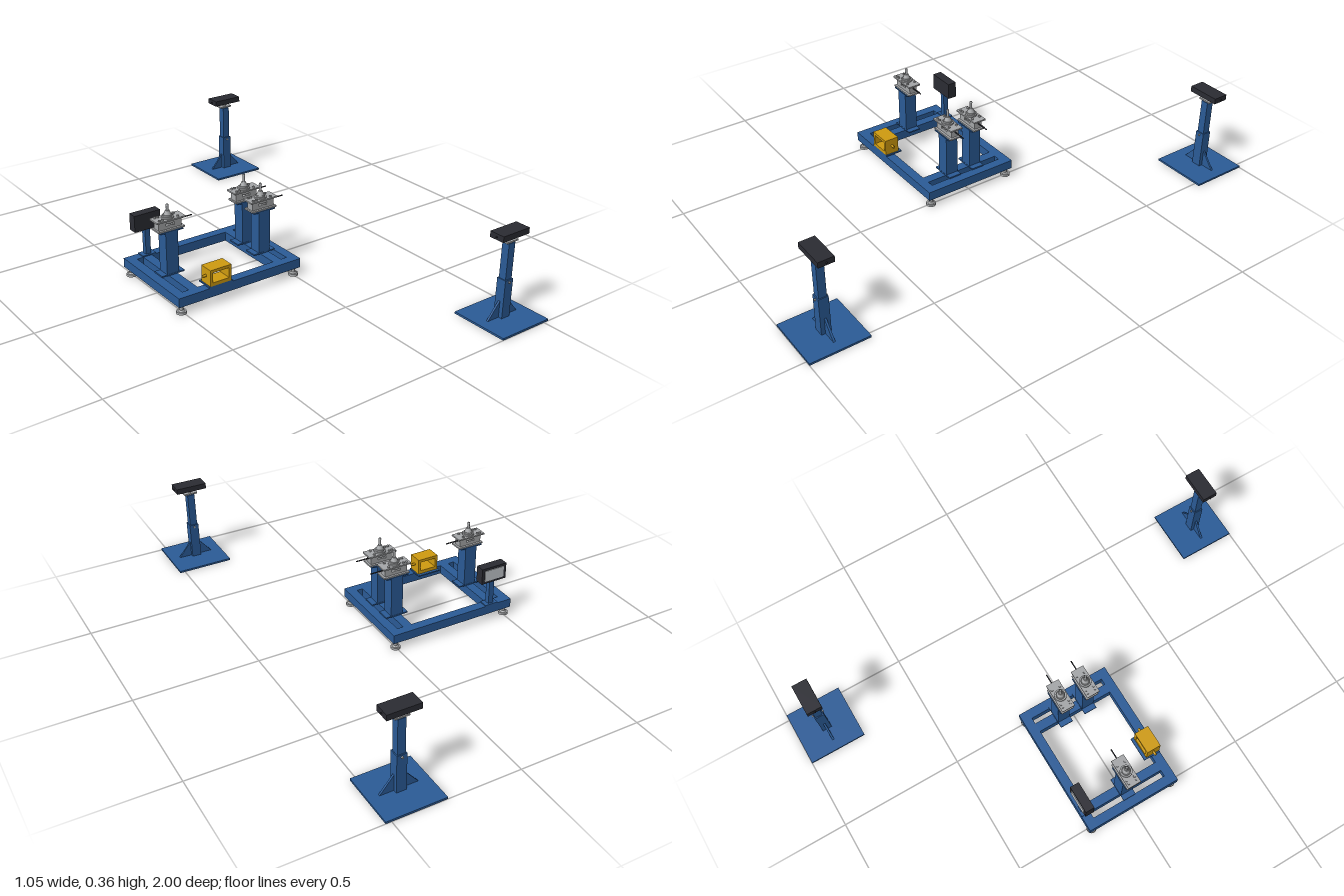
import * as THREE from 'three';

const mat = (name, color) => {
  const m = new THREE.MeshStandardMaterial({ color });
  m.name = name;
  return m;
};

export function createModel() {
  const blue = mat('blue paint', 0x2b5c98);
  const steel = mat('steel', 0xa6a8aa);
  const dark = mat('dark plastic', 0x2b2c33);
  const yellow = mat('yellow paint', 0xd09c10);
  const pale = mat('screen grey', 0xc4c8cc);

  const add = (parent, name, geo, material, x = 0, y = 0, z = 0) => {
    const m = new THREE.Mesh(geo, material);
    m.name = name;
    m.position.set(x, y, z);
    parent.add(m);
    return m;
  };
  // box given by its min and max on each axis
  const box = (parent, name, material, x0, x1, y0, y1, z0, z1) =>
    add(parent, name, new THREE.BoxGeometry(x1 - x0, y1 - y0, z1 - z0), material,
      (x0 + x1) / 2, (y0 + y1) / 2, (z0 + z1) / 2);
  // upright cylinder or cone starting at y0
  const cyl = (parent, name, material, r0, r1, y0, y1, x = 0, z = 0) =>
    add(parent, name, new THREE.CylinderGeometry(r1, r0, y1 - y0, 20), material, x, (y0 + y1) / 2, z);
  // rod along x
  const rodX = (parent, name, material, r, x0, x1, y, z = 0) => {
    const m = add(parent, name, new THREE.CylinderGeometry(r, r, x1 - x0, 12), material, (x0 + x1) / 2, y, z);
    m.rotation.z = Math.PI / 2;
    return m;
  };
  const group = (parent, name, x = 0, y = 0, z = 0) => {
    const g = new THREE.Group();
    g.name = name;
    g.position.set(x, y, z);
    parent.add(g);
    return g;
  };
  const shapeOf = pts => new THREE.Shape(pts.map(p => new THREE.Vector2(...p)));
  // extrusion centred on z
  const slab = (shape, depth) =>
    new THREE.ExtrudeGeometry(shape, { depth, bevelEnabled: false }).translate(0, 0, -depth / 2);

  const model = new THREE.Group();
  model.name = 'testStation';

  // Base frame: two long rails, two end rails, two inner cross rails
  const frame = group(model, 'baseFrame');
  for (const [z0, z1] of [[-0.2, -0.162], [0.162, 0.2]])
    box(frame, 'longRail', blue, -0.526, 0.021, 0.034, 0.0715, z0, z1);
  for (const x of [-0.507, -0.442, -0.062, 0.002])
    box(frame, 'crossRail', blue, x - 0.019, x + 0.019, 0.034, 0.0715, -0.162, 0.162);

  // Levelling feet
  for (const x of [-0.506, 0.002]) for (const z of [-0.181, 0.181]) {
    const foot = group(model, 'levellingFoot', x, 0, z);
    cyl(foot, 'footPad', steel, 0.02, 0.019, 0, 0.009);
    cyl(foot, 'footCone', steel, 0.013, 0.008, 0.009, 0.014);
    cyl(foot, 'footStem', steel, 0.007, 0.007, 0.014, 0.034);
    cyl(foot, 'footNut', steel, 0.011, 0.011, 0.027, 0.034);
  }

  // Columns, each carrying a clamp head
  const column = (x, z, lift) => {
    const c = group(model, 'column', x, 0, z);
    box(c, 'columnBasePlate', blue, -0.049, 0.049, 0.0715, 0.077, -0.027, 0.027);
    box(c, 'columnPost', blue, -0.026, 0.026, 0.077, 0.247, -0.026, 0.026);
    box(c, 'columnTopPlate', blue, -0.049, 0.049, 0.247, 0.252, -0.029, 0.029);

    const h = group(c, 'clampHead');
    box(h, 'lowerPlate', steel, -0.055, 0.058, 0.252, 0.258, -0.026, 0.026);
    const body = shapeOf([[-0.049, 0.258], [0.049, 0.258], [0.049, 0.291], [-0.049, 0.291]]);
    body.holes.push(new THREE.Path([[-0.018, 0.269], [-0.018, 0.28], [-0.008, 0.277], [0.008, 0.277],
      [0.018, 0.28], [0.018, 0.269], [0.008, 0.272], [-0.008, 0.272]].map(p => new THREE.Vector2(...p))));
    add(h, 'clampBody', slab(body, 0.034), steel);
    box(h, 'upperPlate', steel, -0.061, 0.061, 0.291, 0.297, -0.027, 0.027);
    for (const bx of [-0.045, -0.032, 0.034]) for (const bz of [-0.017, 0.017])
      cyl(h, 'plateBolt', steel, 0.005, 0.005, 0.297, 0.302, bx, bz);
    cyl(h, 'flange', steel, 0.024, 0.024, 0.297, 0.303);
    cyl(h, 'collar', steel, 0.018, 0.018, 0.303, 0.309);
    cyl(h, 'spindleCone', steel, 0.015, 0.008, 0.309, 0.325);
    cyl(h, 'spindle', steel, 0.005, 0.005, 0.325, 0.345 + lift);
    cyl(h, 'spindleTip', steel, 0.006, 0.004, 0.345 + lift, 0.35 + lift);
    rodX(h, 'leverRod', dark, 0.0025, 0.049, 0.105, 0.279);
  };
  column(-0.442, 0, 0);
  column(-0.062, 0.054, 0.006);
  column(-0.062, -0.056, 0.006);

  // Display box on a pole, its screen facing the rear
  const display = group(model, 'display');
  box(display, 'displayFoot', blue, -0.462, -0.404, 0.0715, 0.076, -0.2, -0.162);
  box(display, 'displayPole', blue, -0.444, -0.422, 0.076, 0.19, -0.192, -0.17);
  box(display, 'displayCase', dark, -0.49, -0.377, 0.182, 0.25, -0.202, -0.165);
  box(display, 'displayScreen', pale, -0.477, -0.39, 0.193, 0.24, -0.205, -0.202);

  // Yellow open frame on the front rail, with side studs
  const guard = group(model, 'yellowFrame', -0.344, 0, 0.17);
  box(guard, 'frameSeat', blue, -0.051, 0.051, 0.0715, 0.077, -0.042, 0.03);
  const ring = shapeOf([[-0.046, 0.077], [0.046, 0.077], [0.046, 0.143], [-0.046, 0.143]]);
  ring.holes.push(new THREE.Path([[-0.035, 0.091], [-0.035, 0.131], [0.035, 0.131], [0.035, 0.091]]
    .map(p => new THREE.Vector2(...p))));
  add(guard, 'frameRing', slab(ring, 0.06), yellow);
  for (const s of [-1, 1])
    rodX(guard, 'sideStud', yellow, 0.005, s > 0 ? 0.046 : -0.063, s > 0 ? 0.063 : -0.046, 0.112);

  // Two separate telescopic stands
  const gusset = shapeOf([[0.0195, 0.008], [0.073, 0.008], [0.0195, 0.073]]);
  for (const s of [-1, 1]) {
    const stand = group(model, 'stand', 0.406, 0, s * 0.883);
    box(stand, 'standBase', blue, -0.116, 0.116, 0, 0.008, -0.117, 0.117);
    box(stand, 'lowerTube', blue, -0.0195, 0.0195, 0.008, 0.16, -0.0195, 0.0195);
    box(stand, 'upperTube', blue, -0.0155, 0.0155, 0.16, 0.302, -0.0155, 0.0155);
    for (const side of [0, Math.PI])
      add(stand, 'gusset', slab(gusset, 0.008), blue).rotation.y = side;
    const bolt = add(stand, 'lockBolt', new THREE.CylinderGeometry(0.004, 0.004, 0.05, 12), steel, 0, 0.15, 0);
    bolt.rotation.x = Math.PI / 2;
    cyl(stand, 'neck', steel, 0.009, 0.009, 0.302, 0.327);
    box(stand, 'headPlate', steel, -0.028, 0.028, 0.306, 0.312, -0.018, 0.018);
    box(stand, 'head', dark, -0.065, 0.065, 0.327, 0.35, -0.031, 0.031);
    rodX(stand, 'headPin', dark, 0.003, -0.07, 0.07, 0.338);
  }
  return model;
}
